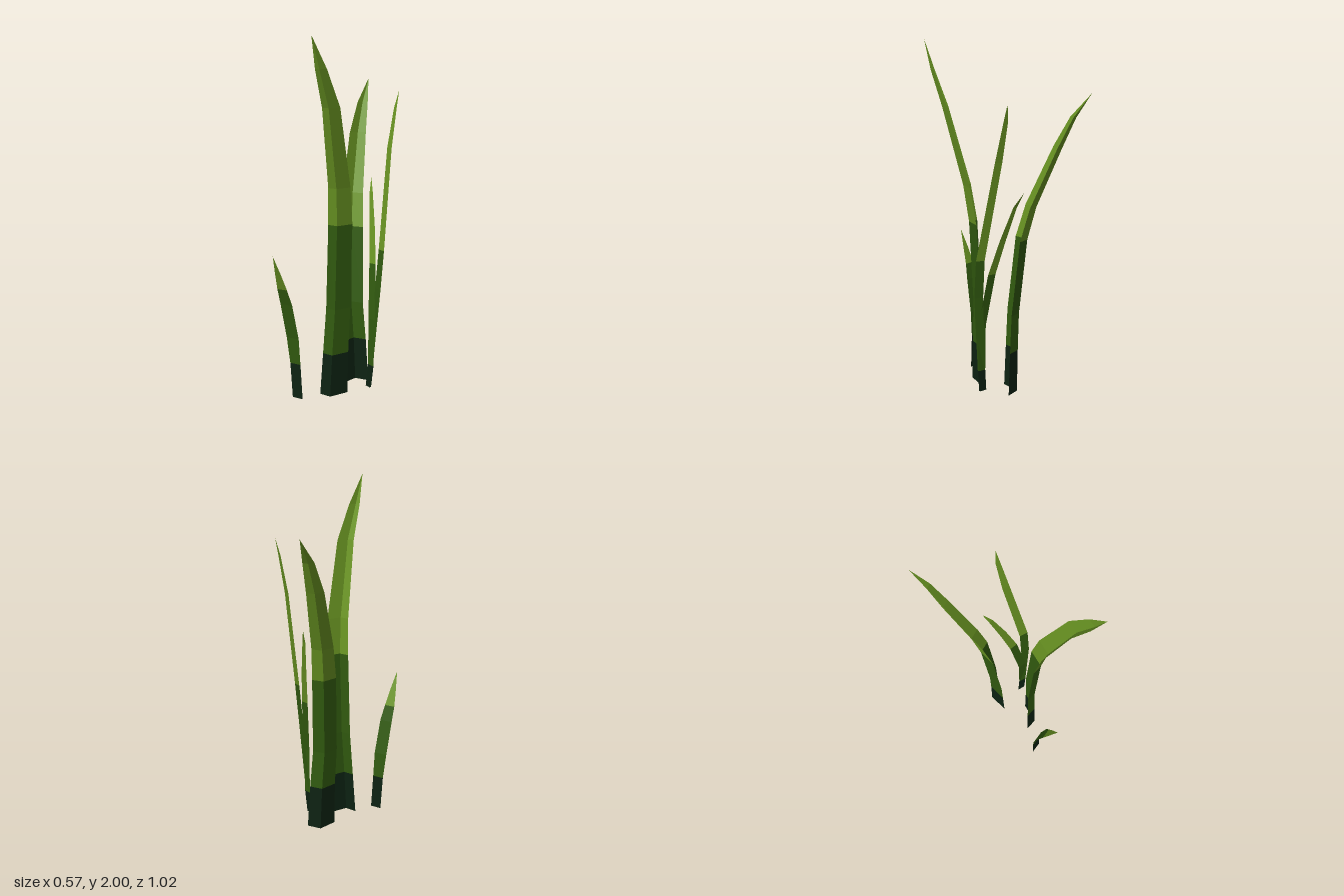
import * as THREE from 'three';

const paint = (name, color) => {
  const m = new THREE.MeshStandardMaterial({ color, flatShading: true, side: THREE.DoubleSide });
  m.name = name;
  return m;
};

// Width factors from the root upwards; every blade then closes in a point
const WIDE = [1.14, 1.05, 1, 0.98, 0.89, 0.7, 0.45];
const SLIM = [0.85, 0.87, 1.03, 1, 0.82, 0.5];

// Joins neighbouring rows of points with triangles; the tip row is a single point
function strip(rows) {
  const corners = [];
  for (let r = 0; r + 1 < rows.length; r++) {
    const a = rows[r], b = rows[r + 1];
    for (let i = 0; i + 1 < a.length; i++) {
      corners.push(a[i], a[i + 1], b[i] ?? b[0]);
      if (b.length > 1) corners.push(a[i + 1], b[i + 1], b[i]);
    }
  }
  const geometry = new THREE.BufferGeometry().setFromPoints(corners);
  geometry.computeVertexNormals();
  return geometry;
}

// spine: [x, y, z] from root to tip; section: [x, z] offsets from the spine, across the blade;
// middleEnd: the spine point where the tip colour starts
function makeBlade(name, spine, section, widths, middleEnd, materials) {
  const rows = spine.map(([x, y, z], i) =>
    i < widths.length
      ? section.map(([dx, dz]) => new THREE.Vector3(x + dx * widths[i], y, z + dz * widths[i]))
      : [new THREE.Vector3(x, y, z)]);
  const blade = new THREE.Group();
  blade.name = name;
  const ends = [0, 1, middleEnd, rows.length - 1];
  ['bladeBase', 'bladeMiddle', 'bladeTip'].forEach((part, i) => {
    const mesh = new THREE.Mesh(strip(rows.slice(ends[i], ends[i + 1] + 1)), materials[i]);
    mesh.name = part;
    blade.add(mesh);
  });
  return blade;
}

export function createModel() {
  const group = new THREE.Group();
  group.name = 'grassTuft';
  const greens = [
    paint('deep green', 0x0d2212),
    paint('leaf green', 0x315a0f),
    paint('bright green', 0x699422),
  ];

  // Two wide blades, folded along the spine and leaning apart
  group.add(makeBlade('tallFrontBlade', [
    [-0.02, 0, 0.22], [-0.01, 0.24, 0.21], [0.003, 0.5, 0.197], [0.02, 0.98, 0.213],
    [0.025, 1.19, 0.245], [0.02, 1.63, 0.375], [-0.005, 1.83, 0.457], [-0.03, 2, 0.51],
  ], [[-0.058, -0.025], [0, 0], [0.067, -0.08]], WIDE, 3, greens));
  group.add(makeBlade('tallBackBlade', [
    [0.045, 0, -0.1], [0.035, 0.25, -0.1], [0.02, 0.47, -0.1], [0.01, 0.91, -0.145],
    [0.003, 1.1, -0.195], [-0.003, 1.44, -0.34], [0.006, 1.61, -0.42], [0.02, 1.745, -0.51],
  ], [[-0.046, 0.092], [0, 0], [0.073, 0.014]], WIDE, 3, greens));

  // Two slim blades that fork from one root
  group.add(makeBlade('slimOuterBlade', [
    [0.145, 0.02, 0.05], [0.16, 0.15, 0.05], [0.195, 0.6, 0.043], [0.21, 0.82, 0.025],
    [0.229, 1.38, -0.09], [0.256, 1.6, -0.135], [0.283, 1.7, -0.145],
  ], [[0, 0], [0.038, 0.035]], SLIM, 3, greens));
  group.add(makeBlade('slimInnerBlade', [
    [0.145, 0.02, 0.05], [0.158, 0.15, 0.05], [0.158, 0.42, 0.045], [0.148, 0.73, -0.012],
    [0.135, 0.93, -0.07], [0.12, 1.12, -0.13], [0.12, 1.2, -0.17],
  ], [[0, 0], [0.043, 0.026]], SLIM, 3, greens));

  // Short blade standing apart
  group.add(makeBlade('shortBlade', [
    [-0.222, 0, 0.277], [-0.235, 0.2, 0.275], [-0.253, 0.35, 0.28], [-0.275, 0.55, 0.315],
    [-0.284, 0.64, 0.338], [-0.284, 0.73, 0.372], [-0.28, 0.84, 0.418],
  ], [[0, 0], [0.075, 0.023]], SLIM, 4, greens));

  return group;
}
